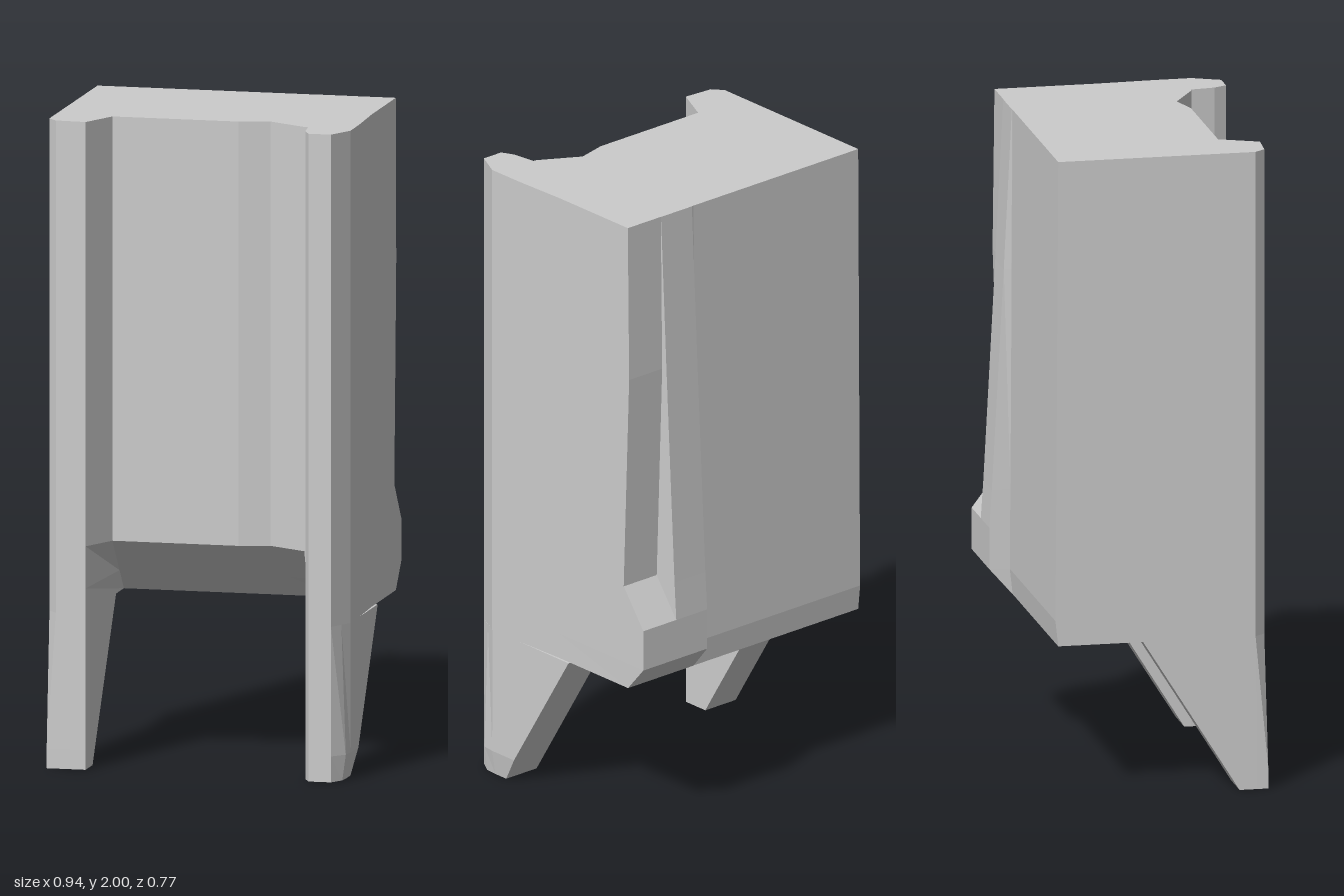
import * as THREE from 'three';

const material = new THREE.MeshStandardMaterial({ color: 0xcccccc, flatShading: true });

// Joins matching rings, listed from top to bottom: { y, pts: [[x, z], ...] }
function loft(name, rings) {
  const pos = [];
  const put = (ring, i) => pos.push(ring.pts[i][0], ring.y, ring.pts[i][1]);
  for (let r = 0; r < rings.length - 1; r++) {
    const a = rings[r], b = rings[r + 1], n = a.pts.length;
    for (let i = 0; i < n; i++) {
      const j = (i + 1) % n;
      put(a, i); put(a, j); put(b, i);
      put(a, j); put(b, j); put(b, i);
    }
  }
  const cap = (ring, up) => {
    const outline = ring.pts.map(([x, z]) => new THREE.Vector2(x, z));
    for (const [a, b, c] of THREE.ShapeUtils.triangulateShape(outline, [])) {
      for (const i of up ? [a, c, b] : [a, b, c]) put(ring, i);
    }
  };
  cap(rings[0], true);
  cap(rings[rings.length - 1], false);
  const geometry = new THREE.BufferGeometry();
  geometry.setAttribute('position', new THREE.Float32BufferAttribute(pos, 3));
  geometry.computeVertexNormals();
  const mesh = new THREE.Mesh(geometry, material);
  mesh.name = name;
  return mesh;
}

// Body section: back wall, rib and side recess, then the channelled front.
// t = 0 keeps the full channel, t = 1 pulls its floor back to the underside.
function bodyRing(y, back, rib, side, t) {
  const mix = (from, to) => from.map((v, i) => v + (to[i] - v) * t);
  return {
    y,
    pts: [
      [-0.473, back], [0.195, back], [0.203, rib], [0.328, rib], [0.328, side], [0.462, side],
      [0.463, 0.0], [0.47, 0.18], [0.471, 0.3],
      [0.43, 0.385], [0.36, 0.385], [0.34, 0.345], [0.33, 0.27],
      mix([0.318, 0.268], [0.33, -0.15]),
      mix([0.195, 0.197], [0.195, -0.15]),
      mix([0.1, 0.221], [0.1, -0.15]),
      mix([-0.295, 0.221], [-0.35, -0.15]),
      [-0.35, 0.34], [-0.445, 0.333], [-0.473, 0.3],
    ],
  };
}

export function createModel() {
  const group = new THREE.Group();
  group.name = 'channelBlock';

  // Main block with the tapering rib and foot bump on its back
  group.add(loft('body', [
    bodyRing(2, -0.314, -0.315, -0.314, 0),
    bodyRing(1.5, -0.317, -0.34, -0.32, 0),
    bodyRing(0.81, -0.321, -0.377, -0.295, 0),
    bodyRing(0.69, -0.322, -0.385, -0.385, 0),
    bodyRing(0.56, -0.323, -0.385, -0.385, 0.62),
    bodyRing(0.48, -0.314, -0.315, -0.315, 1),
  ]));

  // Right leg, flaring to a square front corner at the foot
  const rightLeg = (y, back, corner, edge) => ({
    y,
    pts: [[-0.473, back], [-0.35, back], [-0.35, 0.34], corner, edge],
  });
  group.add(loft('rightLeg', [
    rightLeg(0.48, -0.05, [-0.445, 0.333], [-0.473, 0.3]),
    rightLeg(0.06, 0.213, [-0.472, 0.34], [-0.473, 0.305]),
    rightLeg(0, 0.25, [-0.472, 0.34], [-0.473, 0.305]),
  ]));

  // Left leg, with a bevelled outer foot
  const leftLeg = (y, back, outer, shoulder) => ({
    y,
    pts: [
      [0.335, back], [outer, back], [outer, 0.3], shoulder,
      [0.43, 0.385], [0.36, 0.385], [0.34, 0.345], [0.335, 0.27],
    ],
  });
  group.add(loft('leftLeg', [
    leftLeg(0.48, -0.05, 0.47, [0.452, 0.341]),
    leftLeg(0.08, 0.2, 0.471, [0.466, 0.341]),
    leftLeg(0, 0.25, 0.458, [0.455, 0.341]),
  ]));

  return group;
}
